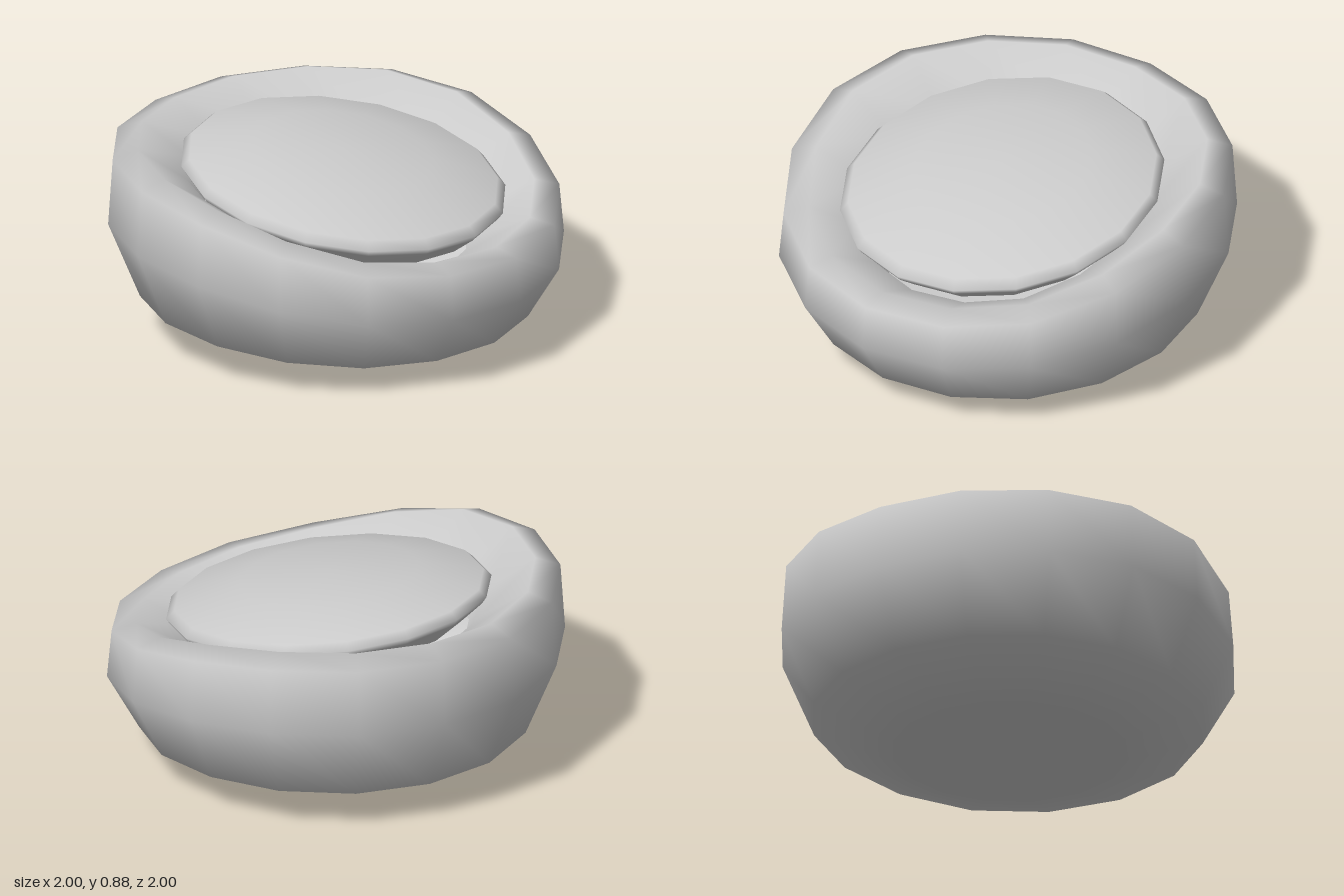
import * as THREE from 'three';
import { mergeVertices } from 'three/addons/utils/BufferGeometryUtils.js';

const SIDES = 16;
// Height of the bed around its rim, from the low entrance (+x) to the high back (-x)
const RIM_HEIGHTS = [0.66, 0.68, 0.73, 0.835, 0.94, 0.99, 1, 1, 0.99];

function heightScale(x, z) {
  if (Math.hypot(x, z) < 1e-4) return 1;
  const step = Math.round(Math.abs(Math.atan2(z, x)) / (Math.PI * 2 / SIDES));
  return RIM_HEIGHTS[step];
}

// Turn a profile, then set every vertex height by a rule
function turned(name, profile, heightRule, material) {
  const lathe = new THREE.LatheGeometry(profile.map(([r, y]) => new THREE.Vector2(r, y)), SIDES);
  lathe.deleteAttribute('uv');
  lathe.deleteAttribute('normal');
  const geometry = mergeVertices(lathe, 1e-4);
  const p = geometry.attributes.position;
  for (let i = 0; i < p.count; i++) {
    p.setY(i, heightRule(p.getX(i), p.getY(i), p.getZ(i)));
  }
  geometry.computeVertexNormals();
  const mesh = new THREE.Mesh(geometry, material);
  mesh.name = name;
  return mesh;
}

export function createModel() {
  const group = new THREE.Group();
  group.name = 'petBed';
  const material = new THREE.MeshStandardMaterial({ color: 0xcccccc, side: THREE.DoubleSide });

  // Padded outer bed: rounded underside, bulging wall and inward-sloping rim
  group.add(turned('bedShell', [
    [0, 0], [0.5, 0.026], [0.86, 0.182], [1, 0.525],
    [0.98, 0.825], [0.87, 0.865], [0.66, 0.72], [0.58, 0.58],
  ], (x, y, z) => y * heightScale(x, z), material));

  // Domed cushion, tilted toward the entrance
  const cushion = turned('cushion', [
    [0.6, -0.12], [0.7, -0.03], [0.72, 0], [0.685, 0.035], [0.4, 0.11], [0, 0.13],
  ], (x, y) => y - 0.153 * x, material);
  cushion.position.set(0.04, 0.705, 0);
  cushion.scale.z = 0.97;
  group.add(cushion);

  return group;
}
